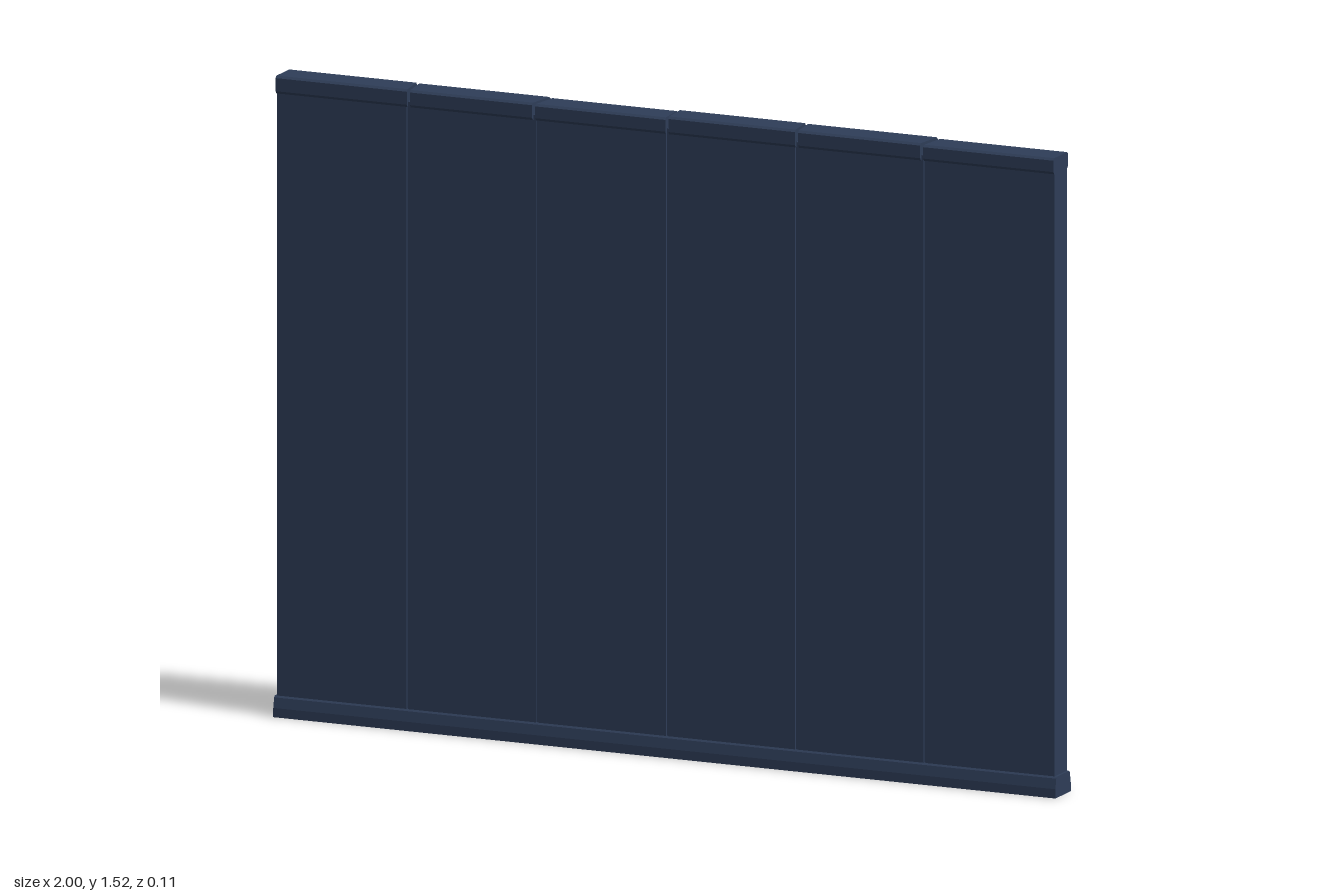
import * as THREE from 'three';

export function createModel() {
  const group = new THREE.Group();
  const navy = new THREE.MeshStandardMaterial({ color: 0x2e3d58 });
  navy.name = 'navy';
  const gold = new THREE.MeshStandardMaterial({ color: 0xc8943a });
  gold.name = 'gold';
  const purple = new THREE.MeshStandardMaterial({ color: 0x6b3a68 });
  purple.name = 'purple';

  const add = (name, geometry, material, parent = group) => {
    const mesh = new THREE.Mesh(geometry, material);
    mesh.name = name;
    parent.add(mesh);
    return mesh;
  };

  // Box given by its limits on each axis
  const box = (name, [x0, x1], [y0, y1], [z0, z1], material, parent) => {
    const mesh = add(name, new THREE.BoxGeometry(x1 - x0, y1 - y0, z1 - z0), material, parent);
    mesh.position.set((x0 + x1) / 2, (y0 + y1) / 2, (z0 + z1) / 2);
    return mesh;
  };

  // Bar along x with a (z, y) cross-section
  const bar = (name, points, x0, x1, material, parent) => {
    const shape = new THREE.Shape(points.map(([z, y]) => new THREE.Vector2(-z, y)));
    const geometry = new THREE.ExtrudeGeometry(shape, { depth: x1 - x0, bevelEnabled: false });
    geometry.rotateY(Math.PI / 2).translate(x0, 0, 0);
    return add(name, geometry, material, parent);
  };

  // Solid core behind the panel seams
  box('wallCore', [-0.985, 0.975], [0.03, 1.49], [-0.015, 0.043], navy);

  // Six wall panels, each with its own coping stone
  const seams = [-0.995, -0.662, -0.332, 0, 0.329, 0.657, 0.989];
  const capTops = [1.52, 1.519, 1.517, 1.52, 1.519, 1.516];
  const slants = [0, 0.006, -0.005, 0.003, 0.005, -0.004, 0];
  for (let i = 0; i < 6; i++) {
    const x0 = seams[i], x1 = seams[i + 1];
    const gap0 = i ? 0.002 : 0, gap1 = i < 5 ? 0.002 : 0;
    box('wallPanel', [x0 + gap0, x1 - gap1], [0.03, 1.49], [-0.02, 0.047], navy);
    const top = capTops[i];
    const cap = bar('copingStone', [
      [0.05, 1.478], [0.054, 1.484], [0.054, top - 0.005], [0.049, top],
      [-0.021, top], [-0.026, top - 0.005], [-0.026, 1.484], [-0.022, 1.478],
    ], x0 + 2 * gap0, x1 - 2 * gap1, navy);
    // Skew the joints a little
    const p = cap.geometry.attributes.position;
    for (let k = 0; k < p.count; k++) {
      const slant = p.getX(k) < (x0 + x1) / 2 ? slants[i] : slants[i + 1];
      p.setX(k, p.getX(k) + slant * (p.getZ(k) - 0.014) / 0.04);
    }
    cap.geometry.computeVertexNormals();
  }

  // Flared plinth
  bar('plinth', [
    [0.056, 0], [0.056, 0.022], [0.051, 0.046], [0.047, 0.05],
    [-0.02, 0.05], [-0.023, 0.046], [-0.028, 0.022], [-0.028, 0],
  ], -1, 0.995, navy);

  // Three hangings on the back, with raised pleats between two rods
  const rod = (name, y, ry, z, x0, x1, material, parent) => {
    const points = [];
    for (let i = 0; i < 8; i++) {
      const a = (i + 0.5) * Math.PI / 4;
      points.push([z + 0.0145 * Math.cos(a), y + ry * Math.sin(a)]);
    }
    bar(name, points, x0, x1, material, parent);
  };
  for (const left of [0.65, 0.11, -0.435]) {
    const hanging = new THREE.Group();
    hanging.name = 'hanging';
    group.add(hanging);
    const right = left - 0.405;
    box('cloth', [right + 0.004, left - 0.004], [0.415, 0.912], [-0.044, -0.018], navy, hanging);
    for (const f of [0.23, 0.51, 0.82]) {
      const x = left - f * 0.405;
      box('pleat', [x - 0.016, x + 0.016], [0.43, 0.895], [-0.052, -0.043], navy, hanging);
    }
    rod('topRod', 0.916, 0.011, -0.0425, right, left, gold, hanging);
    rod('bottomRod', 0.417, 0.009, -0.0425, right, left, purple, hanging);
  }

  return group;
}
